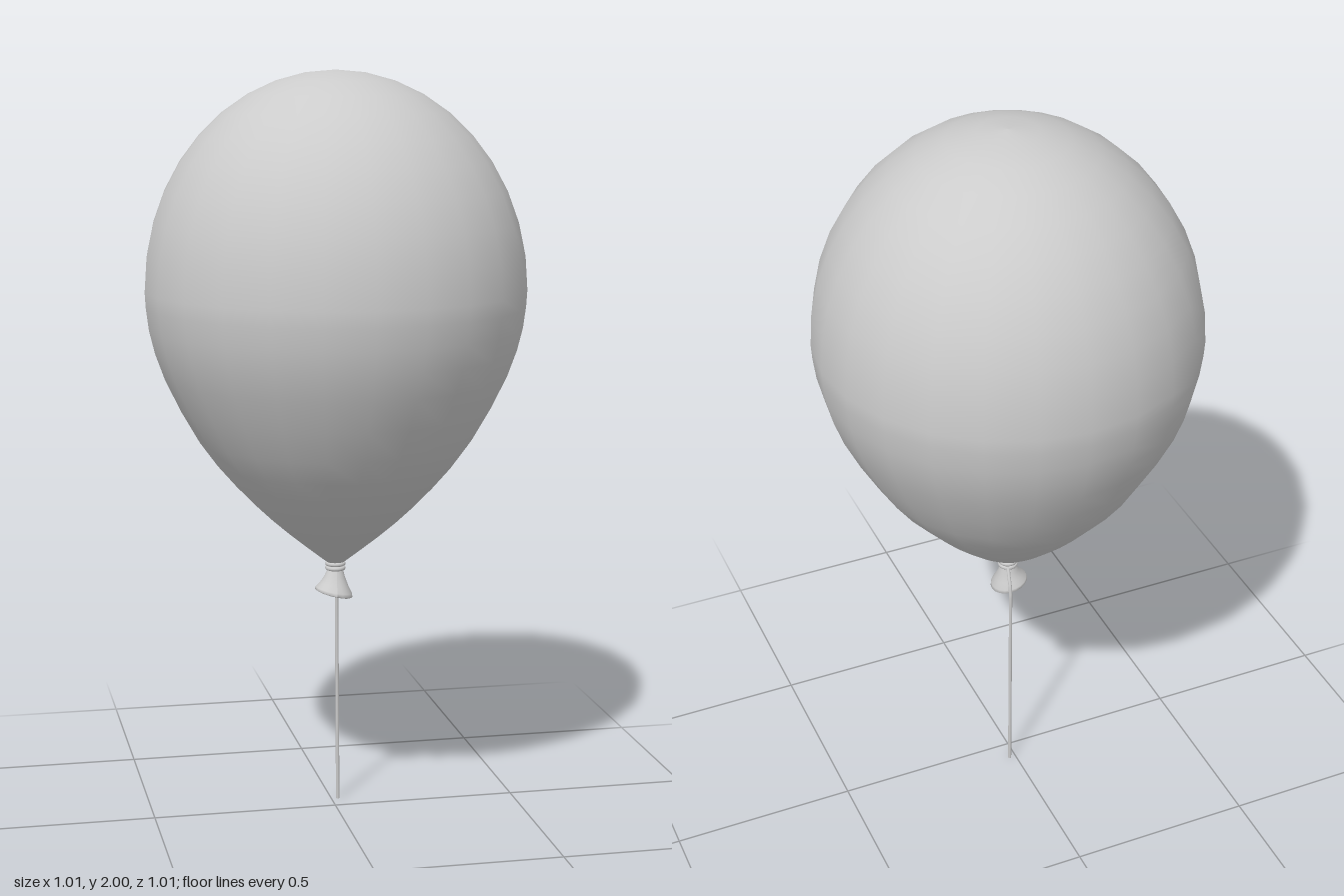
import * as THREE from 'three';

const V2 = (x, y) => new THREE.Vector2(x, y);
const V3 = (x, y, z) => new THREE.Vector3(x, y, z);

export function createModel() {
  const group = new THREE.Group();
  const grey = new THREE.MeshStandardMaterial({ color: 0xcccccc });
  const greyOpen = new THREE.MeshStandardMaterial({ color: 0xcccccc, side: THREE.DoubleSide });
  const add = (name, geometry, material = grey) => {
    const mesh = new THREE.Mesh(geometry, material);
    mesh.name = name;
    group.add(mesh);
    return mesh;
  };

  // Balloon: tapering lower half, elliptical dome above the widest ring
  const radius = 0.505, widest = 1.43;
  const lower = new THREE.SplineCurve([
    V2(0.022, 0.69), V2(0.08, 0.735), V2(0.17, 0.81), V2(0.27, 0.91),
    V2(0.365, 1.03), V2(0.455, 1.2), V2(0.495, 1.33), V2(radius, widest),
  ]).getPoints(14);
  const upper = [];
  for (let i = 1; i <= 10; i++) {
    const a = (i / 10) * Math.PI / 2;
    upper.push(V2(i === 10 ? 0 : radius * Math.cos(a), widest + (2 - widest) * Math.sin(a)));
  }
  add('balloon', new THREE.LatheGeometry([...lower, ...upper], 24));

  // Pinched neck between balloon and flared mouth
  add('neck', new THREE.CylinderGeometry(0.024, 0.02, 0.045, 16)).position.y = 0.678;

  // Flared mouth, sheared so its rim slopes down to one side
  const flare = new THREE.LatheGeometry([
    V2(0.001, 0.625), V2(0.034, 0.612), V2(0.046, 0.603), V2(0.051, 0.606), V2(0.049, 0.614),
    V2(0.038, 0.63), V2(0.028, 0.65), V2(0.02, 0.672),
  ], 20);
  const p = flare.attributes.position;
  for (let i = 0; i < p.count; i++) {
    const x = p.getX(i), t = (0.672 - p.getY(i)) / 0.07;
    p.setXYZ(i, x - 0.006 * t, p.getY(i) - 0.25 * x * t, p.getZ(i) + 0.006 * t);
  }
  flare.computeVertexNormals();
  add('mouth', flare, greyOpen);

  // Two turns of string wound round the neck
  for (const y of [0.674, 0.686]) {
    const turn = add('stringTurn', new THREE.TorusGeometry(0.022, 0.006, 8, 20));
    turn.rotation.x = Math.PI / 2;
    turn.position.y = y;
  }

  // String running over the mouth, then hanging straight down
  const path = new THREE.CurvePath();
  path.add(new THREE.CatmullRomCurve3([
    V3(0.008, 0.677, -0.02), V3(0.011, 0.655, -0.033), V3(0.013, 0.63, -0.046), V3(0.014, 0.6, -0.052),
  ]));
  path.add(new THREE.LineCurve3(V3(0.014, 0.6, -0.052), V3(0.018, 0, -0.055)));
  add('string', new THREE.TubeGeometry(path, 60, 0.005, 8, false), greyOpen);

  return group;
}
